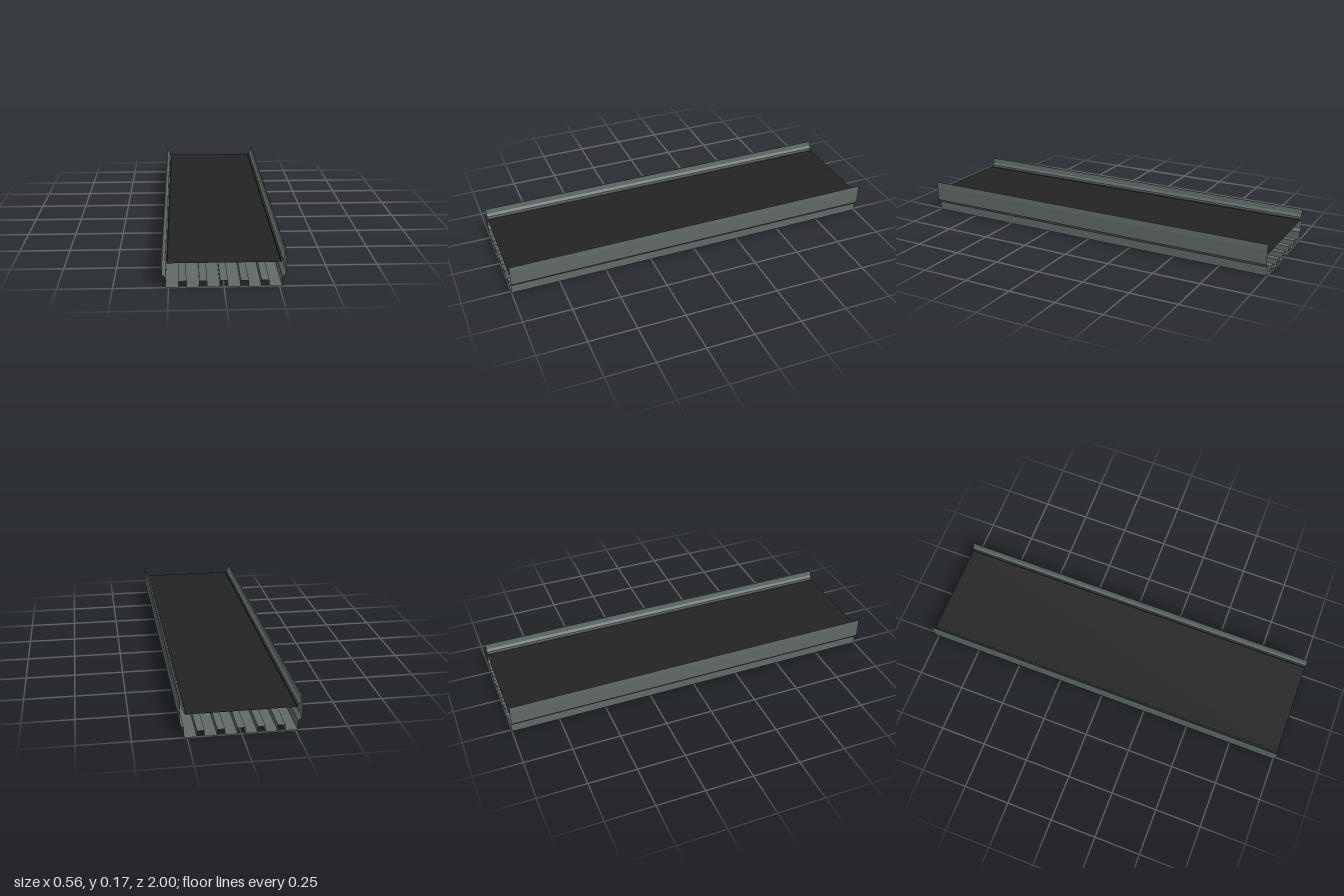
import * as THREE from 'three';

const LENGTH = 2;

// Open sheet: a cross-section of [x, y] points swept along z, without end caps
function sheet(name, points, material) {
  const pos = [];
  const h = LENGTH / 2;
  for (let i = 0; i < points.length - 1; i++) {
    const [ax, ay] = points[i];
    const [bx, by] = points[i + 1];
    pos.push(ax, ay, h, bx, by, h, bx, by, -h);
    pos.push(ax, ay, h, bx, by, -h, ax, ay, -h);
  }
  const geometry = new THREE.BufferGeometry();
  geometry.setAttribute('position', new THREE.Float32BufferAttribute(pos, 3));
  geometry.computeVertexNormals();
  const mesh = new THREE.Mesh(geometry, material);
  mesh.name = name;
  return mesh;
}

export function createModel() {
  const group = new THREE.Group();
  group.name = 'trayDeck';

  const steel = new THREE.MeshStandardMaterial({ color: 0x5f6a66, side: THREE.DoubleSide });
  steel.name = 'grey steel';
  const rubber = new THREE.MeshStandardMaterial({ color: 0x232323, side: THREE.DoubleSide });
  rubber.name = 'black surface';

  // Corrugated floor pan: six low flats with raised flutes between them
  const halfWidth = 0.263, flats = 6, flatWidth = 0.058, fluteHeight = 0.03;
  const pitch = (2 * halfWidth - flatWidth) / (flats - 1);
  const pan = [];
  for (let i = 0; i < flats; i++) {
    const x = -halfWidth + i * pitch;
    if (i > 0) pan.push([x, fluteHeight]);
    pan.push([x, 0], [x + flatWidth, 0]);
    if (i < flats - 1) pan.push([x + flatWidth, fluteHeight]);
  }
  group.add(sheet('corrugatedPan', pan, steel));

  // Side rails: lower wall, sloped step, tall outer face and folded inner face
  const rail = [
    [0.263, 0], [0.263, 0.046], [0.28, 0.064], [0.282, 0.14], [0.28, 0.17],
    [0.276, 0.17], [0.272, 0.142], [0.262, 0.13], [0.262, 0.118], [0.25, 0.115],
  ];
  group.add(sheet('leftRail', rail, steel));
  group.add(sheet('rightRail', rail.map(([x, y]) => [-x, y]).reverse(), steel));

  // Flat running surface with small upturned edges
  const deck = [[-0.257, 0.123], [-0.254, 0.117], [0.254, 0.117], [0.257, 0.123]];
  group.add(sheet('deck', deck, rubber));

  return group;
}
